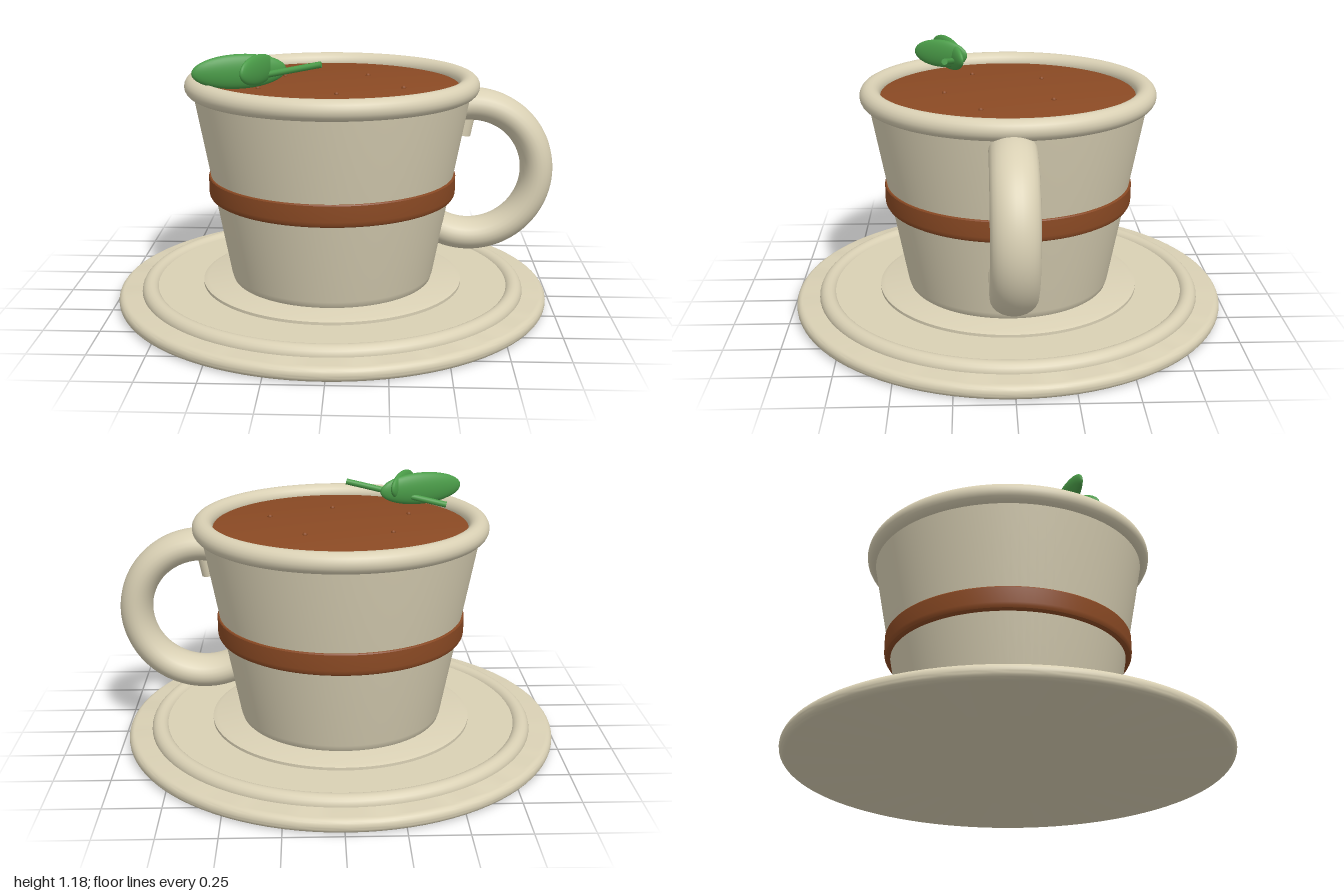
import * as THREE from 'three';
import { toCreasedNormals } from 'three/addons/utils/BufferGeometryUtils.js';

const material = (name, color) => {
  const m = new THREE.MeshStandardMaterial({ color });
  m.name = name;
  return m;
};

// Turned solid; each profile entry is [radius, y], from bottom to top
const turned = (profile) => toCreasedNormals(
  new THREE.LatheGeometry(profile.map(([r, y]) => new THREE.Vector2(r, y)), 96), 0.5);

// Disc profile with a rounded outer edge
function roundedDisc(radius, y0, y1, bevel) {
  const pts = [[0, y0]];
  for (let i = 0; i <= 6; i++) {
    const a = -Math.PI / 2 + (i / 6) * (Math.PI / 2);
    pts.push([radius - bevel + bevel * Math.cos(a), y0 + bevel + bevel * Math.sin(a)]);
  }
  for (let i = 0; i <= 6; i++) {
    const a = (i / 6) * (Math.PI / 2);
    pts.push([radius - bevel + bevel * Math.cos(a), y1 - bevel + bevel * Math.sin(a)]);
  }
  pts.push([0, y1]);
  return pts;
}

export function createModel() {
  const cream = material('cream ceramic', 0xd9d0b4);
  const brown = material('cocoa brown', 0x8b4a24);
  const green = material('leaf green', 0x4a9c48);

  const model = new THREE.Group();
  model.name = 'cupAndSaucer';
  const body = new THREE.Group();
  body.name = 'body';
  body.position.x = -0.01;
  model.add(body);

  const add = (name, geometry, mat, parent = body) => {
    const mesh = new THREE.Mesh(geometry, mat);
    mesh.name = name;
    parent.add(mesh);
    return mesh;
  };
  const ring = (name, radius, tube, y) => {
    const mesh = add(name, new THREE.TorusGeometry(radius, tube, 20, 96), cream);
    mesh.rotation.x = Math.PI / 2;
    mesh.position.y = y;
  };

  // Saucer: plate, raised ring and the step under the cup
  add('saucerPlate', turned(roundedDisc(0.99, 0, 0.065, 0.03)), cream);
  add('saucerFloor', turned([[0.845, 0.06], [0.845, 0.085], [0, 0.085]]), cream);
  ring('saucerRing', 0.844, 0.04, 0.065);
  add('saucerStep', turned([[0.6, 0.08], [0.6, 0.098], [0.58, 0.106], [0, 0.106]]), cream);

  // Cup wall with a rounded foot, and its thick rim
  add('cupWall', turned([
    [0, 0.09], [0.43, 0.09], [0.448, 0.097], [0.46, 0.11], [0.468, 0.135],
    [0.627, 0.99], [0.58, 0.99],
  ]), cream);
  ring('cupRim', 0.617, 0.046, 1.01);

  // Painted band around the cup
  add('cupBand', turned([
    [0.53, 0.498], [0.548, 0.498], [0.557, 0.503], [0.562, 0.512],
    [0.564, 0.525], [0.564, 0.595], [0.561, 0.6], [0.54, 0.6],
  ]), brown);

  // Drink with a few tiny bubbles
  add('drink', turned([[0.585, 0.99], [0.585, 1.005], [0.555, 1.012], [0, 1.012]]), brown);
  for (const [x, z] of [[-0.225, -0.165], [0.16, -0.195], [0.32, 0.125], [0.03, 0.285], [-0.32, 0.16]]) {
    add('bubble', new THREE.SphereGeometry(0.011, 12, 8), brown).position.set(x, 1.013, z);
  }

  // Handle: an oval-section arc running into the wall at both ends
  const start = -2.06, end = 1.95;
  const handle = add('handle', new THREE.TorusGeometry(0.305, 0.073, 24, 64, end - start), cream);
  handle.rotation.z = start;
  handle.scale.z = 1.36;
  handle.position.set(0.627, 0.617, 0);

  // Small support under the top of the handle
  const lug = add('handleSupport', new THREE.CylinderGeometry(0.045, 0.045, 0.14, 24), cream);
  lug.position.set(0.598, 0.85, 0);
  lug.rotation.z = -0.2;

  // Garnish: two flat leaves standing on edge and a stem
  const garnish = new THREE.Group();
  garnish.name = 'garnish';
  model.add(garnish);
  const leaf = (position, size, turn) => {
    const mesh = add('leaf', new THREE.SphereGeometry(1, 32, 20), green, garnish);
    mesh.position.set(...position);
    mesh.scale.set(...size);
    mesh.rotation.y = turn;
  };
  leaf([-0.395, 1.107, 0.277], [0.208, 0.075, 0.033], 0.356);
  leaf([-0.313, 1.12, 0.307], [0.138, 0.065, 0.025], 1.12);

  const from = new THREE.Vector3(-0.51, 1.04, 0.22);
  const to = new THREE.Vector3(-0.045, 1.14, 0.283);
  const stem = add('stem', new THREE.CylinderGeometry(0.014, 0.014, from.distanceTo(to), 16), green, garnish);
  stem.position.copy(from).lerp(to, 0.5);
  stem.quaternion.setFromUnitVectors(new THREE.Vector3(0, 1, 0), to.clone().sub(from).normalize());

  return model;
}
